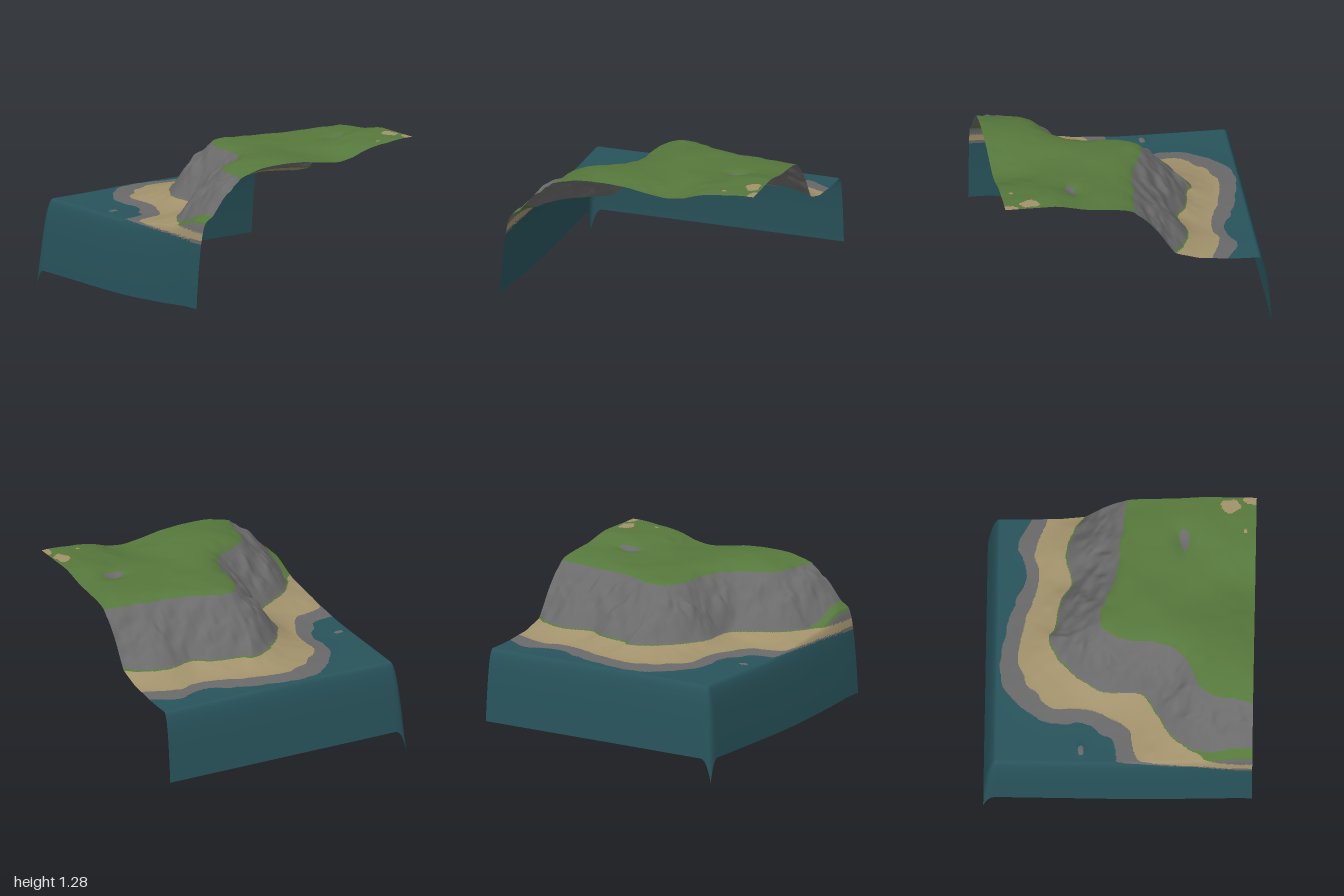
import * as THREE from 'three';

const colours = { water: 0x28535b, wetRock: 0x696969, beach: 0xa2926c, cliff: 0x6b6b6b, grass: 0x56783c };

// Contour lines as x, z pairs, running from the back edge round to the right edge
const shoreLine = [-.5, -1.3, -.66, -1, -.76, -.8, -.71, -.64, -.71, -.5, -.78, -.32, -.84, -.13, -.88, .2, -.8, .4, -.63, .55,
  -.5, .6, -.23, .6, -.13, .68, -.03, .73, 0, .88, .05, 1.1, .3, 1.3, 1.3, 1.5];
const beachLine = [-.4, -1.3, -.54, -1, -.65, -.77, -.61, -.5, -.69, -.24, -.75, 0, -.73, .21, -.61, .4, -.48, .5,
  -.26, .5, -.1, .55, .06, .64, .09, .75, .13, .88, .3, 1.08, .7, 1.25, 1.3, 1.35];
const footLine = [-.2, -1.3, -.28, -1, -.37, -.83, -.4, -.67, -.36, -.5, -.44, -.32, -.48, -.11, -.53, -.04, -.48, .08, -.37, .21,
  -.24, .32, -.1, .39, .09, .38, .22, .43, .3, .56, .38, .7, .54, .82, .7, .855, 1, .845, 1.3, .84];
const rimLine = [.06, -1.3, .03, -1, 0, -.72, -.03, -.45, -.1, -.24, -.155, -.08, -.09, .03, .09, .1, .33, .13,
  .49, .23, .57, .4, .68, .51, 1, .58, 1.3, .58];

const smooth = THREE.MathUtils.smoothstep;
const lerp = THREE.MathUtils.lerp;

function makeContour(list) {
  const pts = [];
  for (let i = 0; i < list.length; i += 2) pts.push(new THREE.Vector2(list[i], list[i + 1]));
  return new THREE.SplineCurve(pts).getPoints(70);
}

// Signed distance to a contour, positive on the inland side
function signedDistance(line, x, z) {
  let best = Infinity, inside = false;
  const n = line.length;
  const edgeCross = (ax, az, bx, bz) => {
    if ((az > z) !== (bz > z) && x < ax + (z - az) * (bx - ax) / (bz - az)) inside = !inside;
  };
  for (let i = 0; i < n - 1; i++) {
    const a = line[i], b = line[i + 1];
    const dx = b.x - a.x, dz = b.y - a.y;
    const t = Math.min(1, Math.max(0, ((x - a.x) * dx + (z - a.y) * dz) / (dx * dx + dz * dz)));
    best = Math.min(best, (x - a.x - t * dx) ** 2 + (z - a.y - t * dz) ** 2);
    edgeCross(a.x, a.y, b.x, b.y);
  }
  // close the outline through the far back corner
  const first = line[0], last = line[n - 1];
  edgeCross(last.x, last.y, 3, last.y);
  edgeCross(3, last.y, 3, first.y);
  edgeCross(3, first.y, first.x, first.y);
  return (inside ? 1 : -1) * Math.sqrt(best);
}

// Smooth value noise in -1..1
function hash(i, j) {
  const s = Math.sin(i * 127.1 + j * 311.7) * 43758.5453;
  return (s - Math.floor(s)) * 2 - 1;
}
function noise(x, z) {
  const i = Math.floor(x), j = Math.floor(z);
  const u = smooth(x - i, 0, 1), v = smooth(z - j, 0, 1);
  return lerp(lerp(hash(i, j), hash(i + 1, j), u), lerp(hash(i, j + 1), hash(i + 1, j + 1), u), v);
}

const bump = (x, z, cx, cz, rx, rz) => Math.exp(-(((x - cx) / rx) ** 2) - ((z - cz) / rz) ** 2);
const inSpot = (x, z, cx, cz, rx, rz) =>
  ((x - cx) / rx) ** 2 + ((z - cz) / rz) ** 2 < 1 + 0.5 * noise(x * 25, z * 25);

const [shore, beach, foot, rim] = [shoreLine, beachLine, footLine, rimLine].map(makeContour);

// Height and zone of the ground at one spot
function ground(px, pz) {
  const x = px + 0.012 * noise(px * 13 + 5, pz * 13), z = pz + 0.012 * noise(px * 13, pz * 13 + 9);
  const dShore = signedDistance(shore, x, z), dBeach = signedDistance(beach, x, z);
  const dFoot = signedDistance(foot, x, z), dRim = signedDistance(rim, x, z);
  const footY = 0.81 + 0.12 * smooth(x, 0.55, 0.95) * smooth(z, 0.5, 0.7);
  let y, zone = 'low';
  if (dRim > 0) {
    // rolling grass top
    zone = 'top';
    const inland = 1 - Math.exp(-dRim / 0.07);
    y = 1.18 + inland * (0.035 + 0.075 * bump(x, z, 0.8, -0.95, 0.4, 0.42) + 0.03 * bump(x, z, 0.75, 0.2, 0.4, 0.25)
      - 0.035 * bump(x, z, 1, -0.32, 0.35, 0.2) + 0.008 * noise(x * 5, z * 5)
      - 0.03 * bump(x, z, 0.45, -0.68, 0.06, 0.1));
    y = Math.min(y, 1.28);
  } else if (dFoot > 0) {
    // craggy cliff face
    zone = 'cliff';
    const t = dFoot / (dFoot - dRim);
    y = lerp(footY, 1.18, t) + Math.sin(Math.PI * t)
      * (0.025 + 0.025 * noise(x * 9, z * 9) + 0.012 * noise(x * 22, z * 22));
  } else if (dBeach > 0) {
    const t = dBeach / (dBeach - dFoot);
    y = lerp(0.742, footY, t ** 1.5);
  } else if (dShore > 0) {
    y = lerp(0.73, 0.742, dShore / (dShore - dBeach));
  } else {
    y = 0.73 - 0.01 * (1 - Math.exp(dShore / 0.1)) + 0.014 * bump(x, z, -0.28, 0.82, 0.03, 0.045);
  }
  // rounded drop along the left and front edges
  const gx = Math.max(0, (-px - 0.9) / 0.1) ** 2.6, gz = Math.max(0, (pz - 0.9) / 0.1) ** 2.6;
  y = y * (1 - 0.752 * (gx + gz) + 0.504 * gx * gz) + 0.03 * gz * smooth(px, 0, 0.9);
  return { y, zone, wall: gz > 0.015 };
}

function pickPart(x, y, z, zone, wall) {
  if (y < 0.729) return 'water';
  if (y < 0.742) return 'wetRock';
  if (y < 0.806) return 'beach';
  if (zone === 'cliff' || wall) return 'cliff';
  if (inSpot(x, z, 0.47, -0.68, 0.035, 0.08)) return 'cliff';
  if (inSpot(x, z, 0.81, -0.93, 0.07, 0.05) || inSpot(x, z, 0.96, -0.98, 0.06, 0.04)
    || inSpot(x, z, 0.92, -0.74, 0.014, 0.014)) return 'beach';
  return 'grass';
}

export function createModel() {
  const group = new THREE.Group();
  const n = 240, cells = n + 1;
  const positions = [], info = [];
  // rows and columns gather towards the steep edges
  const spread = (s) => 2 * (0.45 * s + 0.55 * s * s) - 1;
  for (let j = 0; j <= n; j++) {
    for (let i = 0; i <= n; i++) {
      const x = lerp(spread(i / n), 2 * i / n - 1, 0.6), z = -spread(1 - j / n);
      const g = ground(x, z);
      positions.push(x, g.y, z);
      info.push(g);
    }
  }

  // sort the triangles into one surface per colour
  const faces = {}, all = [];
  for (const name in colours) faces[name] = [];
  const addFace = (...c) => {
    const mean = (k) => (positions[c[0] * 3 + k] + positions[c[1] * 3 + k] + positions[c[2] * 3 + k]) / 3;
    faces[pickPart(mean(0), mean(1), mean(2), info[c[0]].zone, info[c[0]].wall)].push(...c);
    all.push(...c);
  };
  for (let j = 0; j < n; j++) {
    for (let i = 0; i < n; i++) {
      const a = j * cells + i, b = a + 1, c = a + cells, d = c + 1;
      addFace(a, c, b);
      addFace(b, c, d);
    }
  }

  // shared smooth normals keep the colour borders seamless
  const land = new THREE.BufferGeometry();
  land.setAttribute('position', new THREE.Float32BufferAttribute(positions, 3));
  land.setIndex(all);
  land.computeVertexNormals();

  for (const name in colours) {
    const geometry = new THREE.BufferGeometry();
    geometry.setAttribute('position', land.getAttribute('position'));
    geometry.setAttribute('normal', land.getAttribute('normal'));
    geometry.setIndex(faces[name]);
    const material = new THREE.MeshStandardMaterial({ color: colours[name], side: THREE.DoubleSide });
    material.name = name + 'Colour';
    const mesh = new THREE.Mesh(geometry, material);
    mesh.name = name;
    group.add(mesh);
  }
  return group;
}
